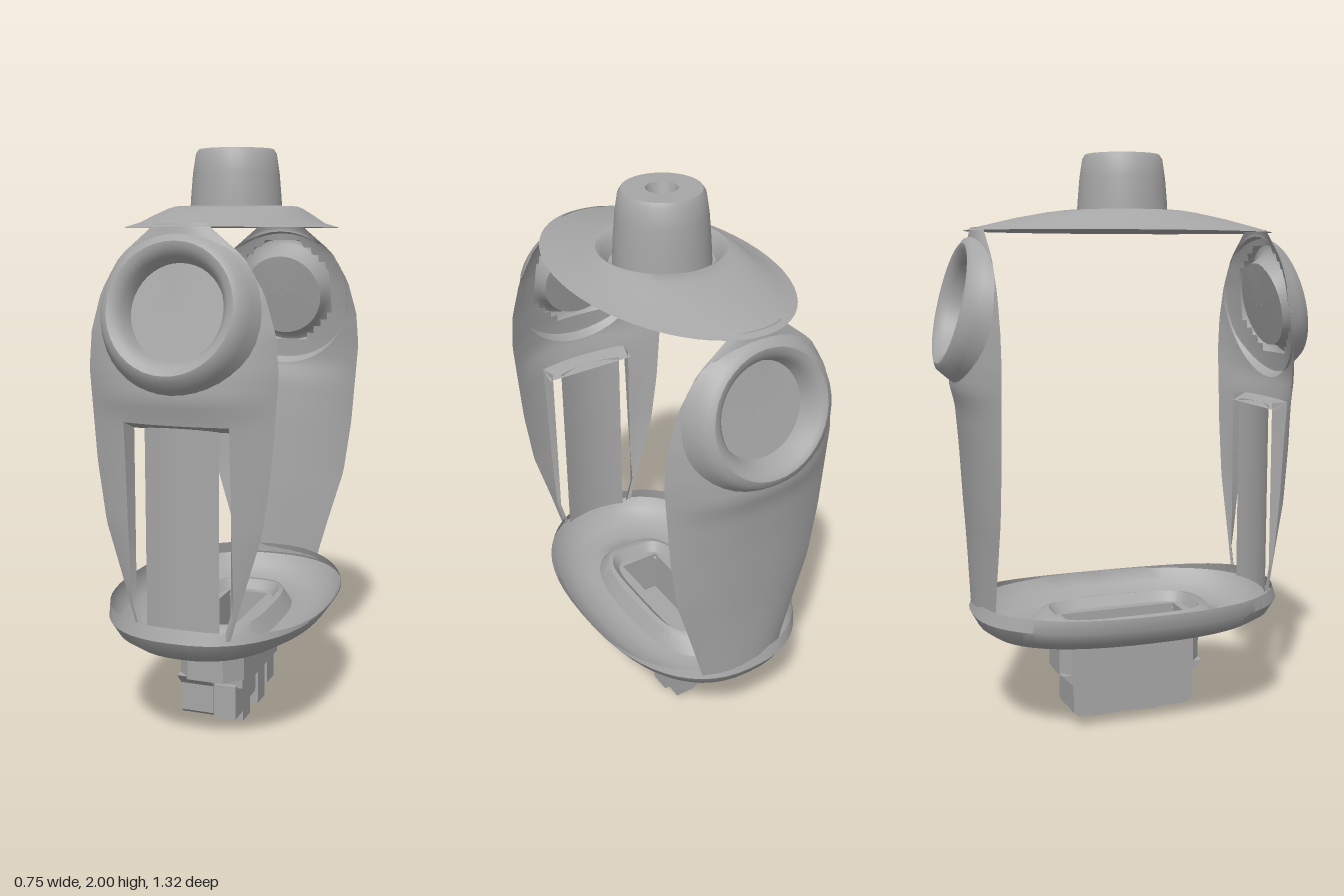
import * as THREE from 'three';
import { toCreasedNormals } from 'three/addons/utils/BufferGeometryUtils.js';

const grey = new THREE.MeshStandardMaterial({ color: 0xa6a6a6, side: THREE.DoubleSide });
grey.name = 'plainGrey';
const CX = 0.025; // the frame sits slightly off centre

function add(parent, name, geometry, crease = 0.7) {
  const mesh = new THREE.Mesh(toCreasedNormals(geometry, crease), grey);
  mesh.name = name;
  parent.add(mesh);
  return mesh;
}

// Surface from a grid of points; keep() can leave cells open
function gridSurface(rows, cols, point, keep = () => true) {
  const pos = [], index = [];
  for (let j = 0; j <= rows; j++)
    for (let i = 0; i <= cols; i++) pos.push(...point(i, j));
  for (let j = 0; j < rows; j++)
    for (let i = 0; i < cols; i++) {
      if (!keep(i, j)) continue;
      const a = j * (cols + 1) + i, b = a + 1, c = a + cols + 1, d = c + 1;
      index.push(a, b, d, a, d, c);
    }
  const g = new THREE.BufferGeometry();
  g.setAttribute('position', new THREE.Float32BufferAttribute(pos, 3));
  g.setIndex(index);
  g.computeVertexNormals();
  return g;
}

// Horizontal superellipse rings [halfX, halfZ, y, power], first to last
function loft(rings, cx, warp = (x, y) => y) {
  const seg = 56;
  return gridSurface(rings.length - 1, seg, (i, j) => {
    const [a, b, y, n] = rings[j], t = (i / seg) * Math.PI * 2;
    const c = Math.cos(t), s = Math.sin(t);
    const x = a * Math.sign(c) * Math.abs(c) ** (2 / n);
    const z = b * Math.sign(s) * Math.abs(s) ** (2 / n);
    return [cx + x, warp(x, y, z, j), z];
  });
}

// Linear lookup in a list of [key, value]
function lookup(table, k) {
  for (let i = 1; i < table.length; i++) {
    const [k0, v0] = table[i - 1], [k1, v1] = table[i];
    if (k <= k1) return v0 + (v1 - v0) * Math.max(0, (k - k0) / (k1 - k0));
  }
  return table[table.length - 1][1];
}

const halfWidth = [[0.44, 0.16], [0.6, 0.205], [0.8, 0.265], [1, 0.293], [1.3, 0.315],
  [1.42, 0.305], [1.54, 0.27], [1.65, 0.205], [1.72, 0.12], [1.75, 0.085]];
const depth = [[0.44, 0.55], [0.7, 0.557], [1, 0.572], [1.15, 0.585], [1.22, 0.605],
  [1.3, 0.6], [1.6, 0.56], [1.75, 0.53]];
const EDGE = 0.51, SLOT_TOP = 1.14;
const slotHalf = (y) => Math.min(0.175, lookup(halfWidth, y) - 0.012);
const panelZ = (x, y) => {
  const u = Math.min(1, Math.abs(x) / lookup(halfWidth, y));
  return EDGE + (lookup(depth, y) - EDGE) * (1 - u ** 2.4);
};

function makePanel(name, slotted) {
  const panel = new THREE.Group();
  panel.name = name;
  const low = 22, high = 22, cols = 24;
  const rowY = (j) => j <= low ? 0.44 + (SLOT_TOP - 0.44) * j / low
    : SLOT_TOP + (1.75 - SLOT_TOP) * (j - low) / high;
  // Columns line up with the slot edges (6..18)
  const colX = (i, y) => {
    const w = lookup(halfWidth, y), s = slotHalf(y);
    if (i < 6) return -w + (w - s) * i / 6;
    if (i > 18) return s + (w - s) * (i - 18) / 6;
    return s * (i - 12) / 6;
  };
  const shell = gridSurface(low + high, cols, (i, j) => {
    const y = rowY(j), x = colX(i, y);
    return [x, y, panelZ(x, y)];
  }, (i, j) => {
    const y = (rowY(j) + rowY(j + 1)) / 2, x = colX(i + 0.5, y);
    if (slotted && j < low && i >= 6 && i < 18) return false;
    return Math.hypot(x, y - 1.5) > 0.2;
  });
  add(panel, 'panelShell', shell);

  // Tilted ring with a sunken disc
  const profile = [[0.001, -0.072], [0.153, -0.07], [0.165, -0.028], [0.185, -0.004], [0.205, 0.002],
    [0.225, -0.008], [0.245, -0.045], [0.268, -0.1]];
  const ring = new THREE.LatheGeometry(profile.map((p) => new THREE.Vector2(...p)), 40);
  ring.rotateX(Math.PI / 2 - 0.24).translate(0, 1.5, 0.61);
  const p = ring.attributes.position;
  for (let i = 0; i < p.count; i++) p.setZ(i, Math.max(EDGE, p.getZ(i)));
  ring.computeVertexNormals();
  add(panel, 'socketRing', ring);

  if (slotted) {
    // Slot walls, lintel and the recessed centre strip
    for (const side of [-1, 1])
      add(panel, 'slotWall', gridSurface(low, 1, (i, j) => {
        const y = rowY(j), x = side * slotHalf(y);
        return i ? [x - side * 0.012, y, EDGE] : [x, y, panelZ(x, y)];
      }));
    add(panel, 'slotLintel', gridSurface(1, 12, (i, j) => {
      const x = 0.175 * (i - 6) / 6;
      return j ? [x, SLOT_TOP - 0.025, EDGE] : [x, SLOT_TOP, panelZ(x, SLOT_TOP)];
    }));
    add(panel, 'centreStrip', gridSurface(1, 8, (i, j) => {
      const u = (i - 4) / 4;
      return [u * 0.125, j ? 1.125 : 0.43, 0.54 - 0.025 * u * u];
    }));
  }
  return panel;
}

const polygon = (pts) => new THREE.Shape(pts.map((p) => new THREE.Vector2(...p)));

export function createModel() {
  const model = new THREE.Group();
  model.name = 'openFrame';

  // Front and back panels
  const front = makePanel('frontPanel', true);
  const back = makePanel('backPanel', false);
  front.position.x = back.position.x = CX;
  back.rotation.y = Math.PI;
  model.add(front, back);

  // Domed top plate with a trough around the knob
  add(model, 'topPlate', loft([
    [0.335, 0.555, 1.74, 2], [0.285, 0.5, 1.755, 2], [0.25, 0.38, 1.783, 2], [0.225, 0.27, 1.803, 2],
    [0.21, 0.215, 1.81, 2], [0.195, 0.195, 1.8, 2], [0.172, 0.172, 1.755, 2], [0.155, 0.155, 1.755, 2],
  ].reverse(), CX));
  const knob = [[0.16, 1.755], [0.155, 1.84], [0.148, 1.92], [0.138, 1.985], [0.128, 2],
    [0.052, 2], [0.035, 1.94], [0.001, 1.94]];
  add(model, 'topKnob', new THREE.LatheGeometry(knob.map((q) => new THREE.Vector2(...q)), 32)
    .translate(CX, 0, 0));

  // Shallow bowl; its rim dips on the left, and a raised pocket sits inside
  add(model, 'bottomBowl', loft([
    [0.375, 0.545, 0.475, 2.4], [0.375, 0.56, 0.43, 2.4], [0.345, 0.535, 0.385, 2.4],
    [0.29, 0.49, 0.352, 2.4], [0.23, 0.42, 0.338, 2.4], [0.19, 0.36, 0.345, 2.6],
    [0.155, 0.305, 0.4, 3], [0.135, 0.27, 0.405, 4], [0.09, 0.235, 0.35, 5],
  ], 0.003, (x, y, z, j) => j === 0 && x > 0 ? y - 0.04 * (x / 0.375) ** 2 : y));

  // Connector: hollow upper block, tapered plate and grooved prongs
  const connector = new THREE.Group();
  connector.name = 'connector';
  model.add(connector);
  const upper = polygon([[-0.1, -0.23], [-0.06, -0.265], [0.07, -0.265], [0.125, -0.2],
    [0.125, 0.2], [0.07, 0.265], [-0.06, 0.265], [-0.1, 0.23]]);
  upper.holes.push(polygon([[-0.075, -0.22], [-0.075, 0.22], [0.075, 0.22], [0.075, -0.22]]));
  add(connector, 'upperBlock', new THREE.ExtrudeGeometry(upper, { depth: 0.18, bevelEnabled: false })
    .rotateX(-Math.PI / 2).translate(0, 0.19, 0));
  const plate = polygon([[-0.265, 0.2], [-0.225, 0.16], [-0.225, 0.06], [-0.205, 0.045],
    [0.205, 0.045], [0.225, 0.06], [0.225, 0.16], [0.265, 0.2]]);
  add(connector, 'lowerPlate', new THREE.ExtrudeGeometry(plate, { depth: 0.12, bevelEnabled: false })
    .rotateY(-Math.PI / 2).translate(0.02, 0, 0));
  const box = (name, w, h, d, x, y, z) =>
    add(connector, name, new THREE.BoxGeometry(w, h, d).translate(x, y, z));
  box('shoulder', 0.1, 0.04, 0.4, 0.07, 0.175, 0);
  box('middleProng', 0.07, 0.11, 0.06, 0.055, 0.11, 0);
  for (const s of [-1, 1]) {
    box('outerProng', 0.08, 0.12, 0.08, 0.06, 0.105, s * 0.18);
    box('foot', 0.1, 0.15, 0.08, 0.045, 0.075, s * 0.085);
  }
  return model;
}
